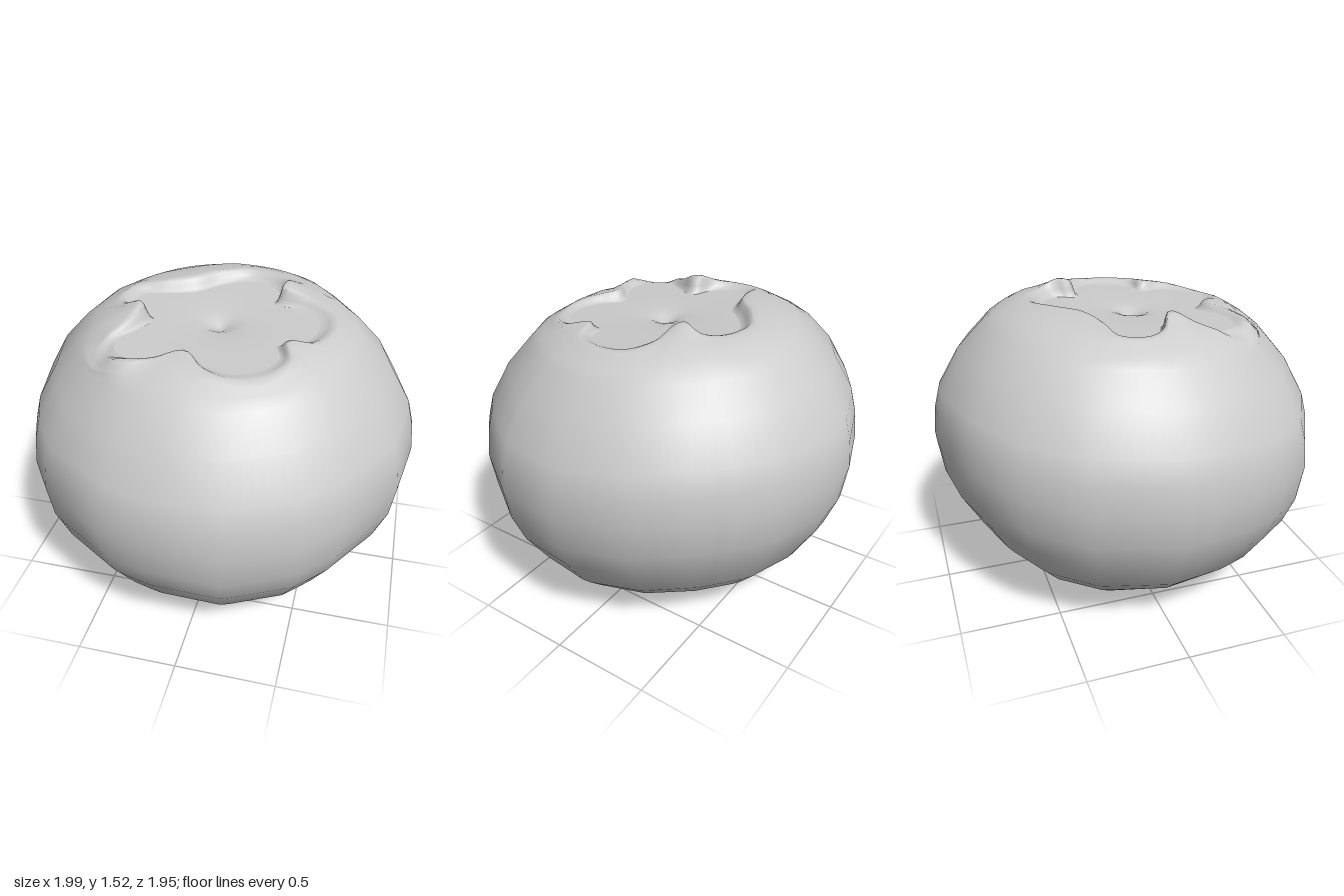
import * as THREE from 'three';
import { mergeVertices } from 'three/addons/utils/BufferGeometryUtils.js';

const SEGMENTS = 120;
const CENTRE = { x: 0, z: 0.04 };

// five-lobed outline of the crater, as x, z pairs
const OUTLINE = [
  [0.05, -0.46], [0.2, -0.42], [0.28, -0.32], [0.26, -0.21], [0.42, -0.18], [0.53, -0.1], [0.55, 0.04],
  [0.48, 0.19], [0.36, 0.23], [0.39, 0.36], [0.32, 0.49], [0.18, 0.55], [0.03, 0.51], [-0.08, 0.41],
  [-0.22, 0.48], [-0.34, 0.52], [-0.46, 0.48], [-0.5, 0.37], [-0.42, 0.22], [-0.37, 0.1], [-0.48, 0.04],
  [-0.54, -0.06], [-0.51, -0.18], [-0.36, -0.22], [-0.22, -0.27], [-0.1, -0.38],
];

// corners of the uneven, many-sided girth, as x, z pairs in order of angle from -x
const GIRTH = [
  [-1, -0.02], [-0.905, -0.44], [-0.7, -0.7], [-0.4, -0.87], [-0.05, -0.98], [0.13, -0.98], [0.455, -0.86],
  [0.69, -0.65], [0.895, -0.375], [1, -0.04], [0.94, 0.33], [0.72, 0.66], [0.57, 0.81], [0.23, 0.97],
  [-0.17, 0.96], [-0.36, 0.91], [-0.71, 0.7], [-0.85, 0.51], [-0.93, 0.32],
];

// distance from the axis to the girth along an angle
function girthRadius(angle) {
  const dx = Math.cos(angle), dz = Math.sin(angle);
  const hits = GIRTH.map(([ax, az], i) => {
    const [bx, bz] = GIRTH[(i + 1) % GIRTH.length];
    const ex = bx - ax, ez = bz - az, cross = dx * ez - dz * ex;
    const along = (ax * dz - az * dx) / cross;
    const distance = (ax * ez - az * ex) / cross;
    return along >= -1e-6 && along <= 1 + 1e-6 && distance > 0 ? distance : Infinity;
  });
  return Math.min(...hits);
}

// side profile from the bottom dimple to the shoulder, as radius, height
const PROFILE = [
  [0, 0.07], [0.06, 0.05], [0.14, 0.02], [0.33, 0], [0.48, 0.06], [0.62, 0.125], [0.72, 0.2], [0.81, 0.285],
  [0.92, 0.46], [0.975, 0.6], [1, 0.77], [0.985, 0.91], [0.955, 1.02], [0.85, 1.2], [0.72, 1.34],
];

// height of the shoulder towards the top
const SHOULDER = [[0, 1.49], [0.25, 1.48], [0.4, 1.465], [0.56, 1.43], [0.72, 1.34], [1, 0.77]];
function shoulderHeight(r) {
  const i = Math.max(1, SHOULDER.findIndex(p => p[0] >= r));
  const [r0, y0] = SHOULDER[i - 1], [r1, y1] = SHOULDER[i];
  return THREE.MathUtils.lerp(y0, y1, (r - r0) / (r1 - r0));
}

// raised spots on the lip, as x, z, height, spread
const BUMPS = [[0.27, -0.26, 0.035, 0.08], [-0.35, 0.47, 0.06, 0.08], [-0.39, 0.1, 0.035, 0.09]];
function lipBump(x, z) {
  return BUMPS.reduce((sum, [bx, bz, h, s]) => sum + h * Math.exp(-((x - bx) ** 2 + (z - bz) ** 2) / (s * s)), 0);
}

// the whole fruit leans slightly, so the front sits lower than the back
const lean = (y, z) => y - 0.055 * z * THREE.MathUtils.smoothstep(y, 0, 0.4);

const lipHeight = (x, z) => lean(shoulderHeight(Math.hypot(x, z)), z) + lipBump(x, z);

// crater floor with a dimple in the middle
function floorHeight(x, z) {
  const d = Math.hypot(x - CENTRE.x, z - CENTRE.z);
  const dip = 0.035 * Math.exp(-((d / 0.06) ** 2)) + 0.015 * Math.exp(-((d / 0.2) ** 2));
  return Math.min(lean(1.41 - dip, z), lipHeight(x, z) - 0.02);
}

// point of the crater outline scaled about its centre
const scaled = (p, f) => [CENTRE.x + (p.x - CENTRE.x) * f, CENTRE.z + (p.z - CENTRE.z) * f];

// skin between rings of points, ordered bottom to top or outside to inside
function loft(rings) {
  const index = [];
  for (let i = 0; i < rings.length - 1; i++) {
    for (let j = 0; j < SEGMENTS; j++) {
      const k = (j + 1) % SEGMENTS;
      const a = i * SEGMENTS + j, b = a + SEGMENTS, c = i * SEGMENTS + k, d = c + SEGMENTS;
      index.push(a, b, c, c, b, d);
    }
  }
  const geometry = new THREE.BufferGeometry();
  geometry.setAttribute('position', new THREE.Float32BufferAttribute(rings.flat(2), 3));
  geometry.setIndex(index);
  const merged = mergeVertices(geometry, 1e-5);
  merged.computeVertexNormals();
  return merged;
}

// body, shoulder and inner lip, with the girth given by a radius for each angle
function bodyGeometry(rim, radiusAt) {
  const angles = rim.map(p => Math.atan2(p.z - CENTRE.z, p.x - CENTRE.x));
  const radii = angles.map(radiusAt);
  const rings = PROFILE.map(([r, y]) => angles.map((a, j) => {
    const z = r * radii[j] * Math.sin(a);
    return [r * radii[j] * Math.cos(a), lean(y, z), z];
  }));

  // shoulder blending from the body to the lobed lip
  const shoulderRing = rings[rings.length - 1];
  for (const t of [0.25, 0.5, 0.75, 0.9, 1]) {
    rings.push(rim.map((p, j) => {
      const [rx, rz] = scaled(p, 1.02);
      const x = THREE.MathUtils.lerp(shoulderRing[j][0], rx, t);
      const z = THREE.MathUtils.lerp(shoulderRing[j][2], rz, t);
      return [x, lipHeight(x, z), z];
    }));
  }

  // soft inner wall of the lip, down to the crater floor
  for (const [f, drop] of [[0.98, 0.2], [0.945, 0.6], [0.91, 0.9], [0.87, 1]]) {
    rings.push(rim.map(p => {
      const [x, z] = scaled(p, f);
      return [x, THREE.MathUtils.lerp(lipHeight(x, z), floorHeight(x, z), drop), z];
    }));
  }
  return loft(rings);
}

export function createModel() {
  const group = new THREE.Group();
  group.name = 'berry';
  const material = new THREE.MeshStandardMaterial({ color: 0xcccccc, roughness: 0.8 });

  const curve = new THREE.CatmullRomCurve3(OUTLINE.map(([x, z]) => new THREE.Vector3(x, 0, z)), true);
  const rim = curve.getSpacedPoints(SEGMENTS).slice(0, SEGMENTS);

  // many-sided body, shaded with the normals of a round one so it stays smooth
  const geometry = bodyGeometry(rim, girthRadius);
  geometry.setAttribute('normal', bodyGeometry(rim, () => 0.98).getAttribute('normal'));
  const body = new THREE.Mesh(geometry, material);
  body.name = 'fruitBody';

  const floorRings = [0.87, 0.72, 0.55, 0.38, 0.25, 0.16, 0.09, 0.04, 0].map(f => rim.map(p => {
    const [x, z] = scaled(p, f);
    return [x, floorHeight(x, z), z];
  }));
  const floor = new THREE.Mesh(loft(floorRings), material);
  floor.name = 'craterFloor';

  group.add(body, floor);
  return group;
}
